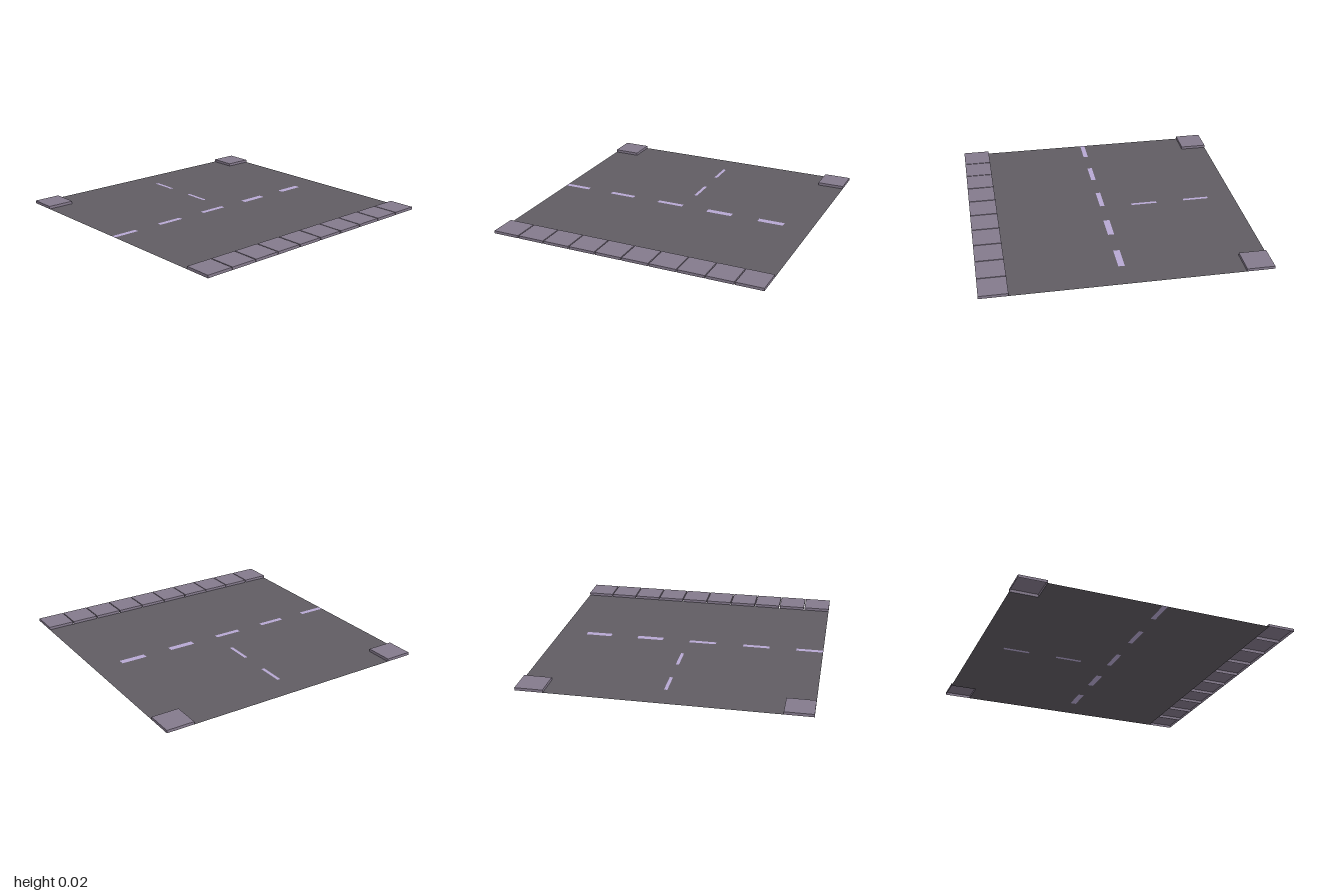
import * as THREE from 'three';

const EDGE = 0.995;   // half depth of the tile
const KERB = 0.797;   // where road meets pavement
const HEIGHT = 0.02;

const mat = (color) => new THREE.MeshStandardMaterial({ color, side: THREE.DoubleSide, flatShading: true });

// Closed outline from [x, z] points; y is flipped so a -90 degree turn lays it on the ground
const trace = (path, pts) => {
  pts.forEach(([x, z], i) => (i ? path.lineTo(x, -z) : path.moveTo(x, -z)));
  path.closePath();
  return path;
};
const rect = ([x0, x1, z0, z1]) => [[x0, z0], [x1, z0], [x1, z1], [x0, z1]];

function flatMesh(shape, material, name) {
  const mesh = new THREE.Mesh(new THREE.ShapeGeometry(shape).rotateX(-Math.PI / 2), material);
  mesh.name = name;
  return mesh;
}

// Paving slab: a box with an open underside
function slab(x0, x1, z0, z1, material, name) {
  const geo = new THREE.BoxGeometry(x1 - x0, HEIGHT, z1 - z0);
  const index = Array.from(geo.index.array);
  index.splice(18, 6); // drop the bottom face
  geo.setIndex(index);
  geo.translate((x0 + x1) / 2, HEIGHT / 2, (z0 + z1) / 2);
  const mesh = new THREE.Mesh(geo, material);
  mesh.name = name;
  return mesh;
}

export function createModel() {
  const model = new THREE.Group();
  model.name = 'roadJunction';
  const asphalt = mat(0x605c63);
  const paving = mat(0x847a8c);
  const paint = mat(0xb7a8d2);

  // Lane markings, as [x0, x1, z0, z1]
  const edgeDash = [-1, -0.803, -0.005, 0.03];
  const dashes = [
    [-0.605, -0.41, -0.005, 0.03],
    [-0.205, -0.004, -0.005, 0.03],
    [0.2, 0.395, -0.005, 0.04],
    [0.6, 0.793, -0.005, 0.04],
    [-0.005, 0.018, -0.798, -0.607],
    [-0.005, 0.018, -0.4, -0.207],
  ];

  // Road surface, cut out for the corners and the inlaid markings
  const [, ex, ez0, ez1] = edgeDash;
  const road = trace(new THREE.Shape(), [
    [-0.803, -EDGE], [0.803, -EDGE], [0.803, -0.8], [1, -0.8], [1, KERB], [-1, KERB],
    [-1, ez1], [ex, ez1], [ex, ez0], [-1, ez0], [-1, -0.8], [-0.803, -0.8],
  ]);
  road.holes = dashes.map((d) => trace(new THREE.Path(), rect(d)));
  model.add(flatMesh(road, asphalt, 'roadSurface'));

  const markings = new THREE.Group();
  markings.name = 'laneMarkings';
  for (const d of [edgeDash, ...dashes]) {
    markings.add(flatMesh(trace(new THREE.Shape(), rect(d)), paint, 'laneDash'));
  }
  model.add(markings);

  // Row of pavement slabs along the front
  const pavement = new THREE.Group();
  pavement.name = 'frontPavement';
  const width = 0.194;
  const pitch = (2 - width) / 9;
  for (let i = 0; i < 10; i++) {
    const x = -1 + i * pitch;
    pavement.add(slab(x, x + width, KERB, EDGE, paving, 'pavementSlab'));
  }
  model.add(pavement);

  // Corner slabs at the back
  model.add(slab(0.803, 1, -EDGE, -0.8, paving, 'leftCornerSlab'));
  model.add(slab(-1, -0.803, -EDGE, -0.8, paving, 'rightCornerSlab'));

  return model;
}
